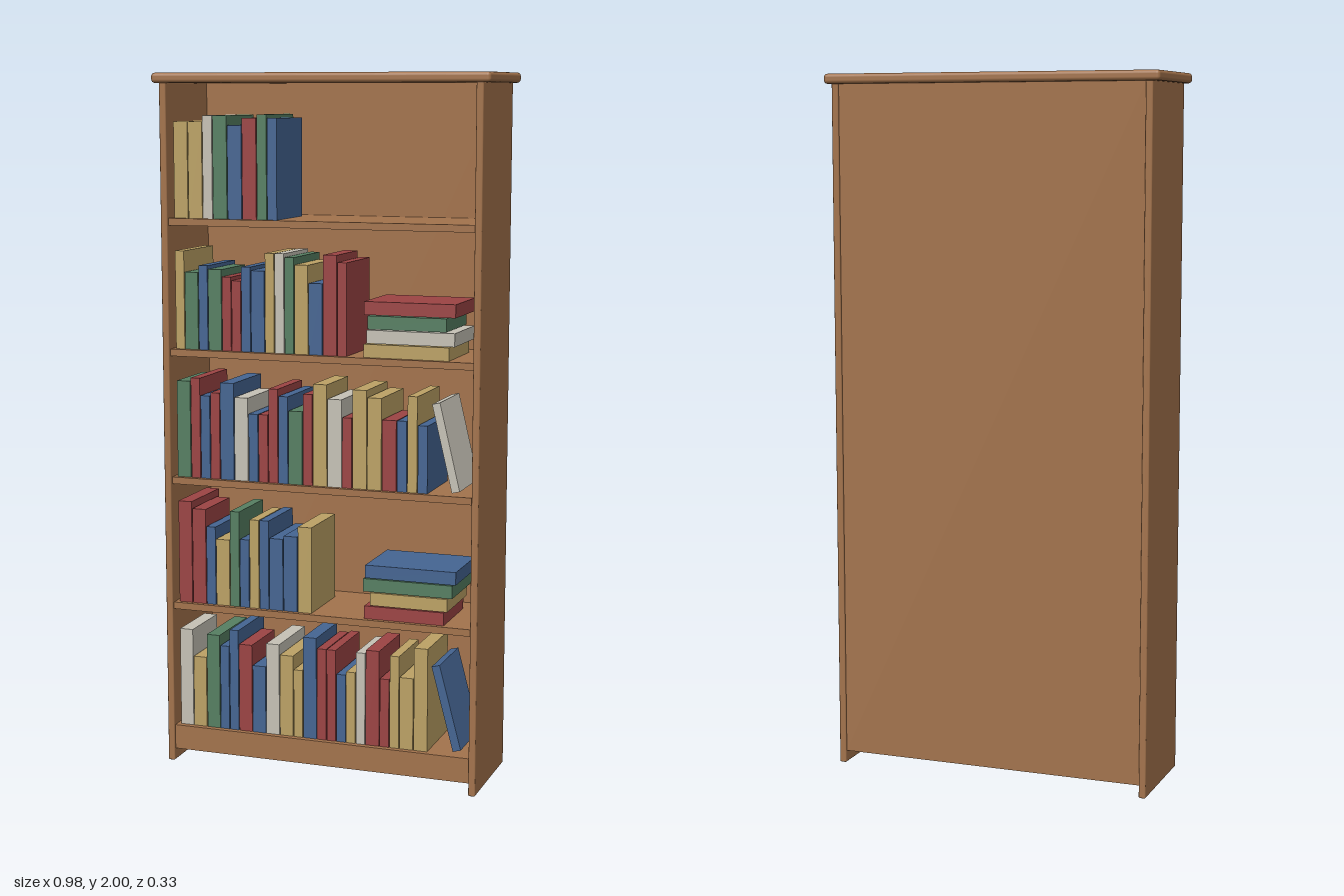
import * as THREE from 'three';
import { RoundedBoxGeometry } from 'three/addons/geometries/RoundedBoxGeometry.js';

const flat = (name, color) => {
  const m = new THREE.MeshStandardMaterial({ color });
  m.name = name;
  return m;
};

const FRONT = 0.13;                       // z of the book spines
const shelfTop = (i) => 0.107 + 0.3722 * i; // five evenly spaced levels

// Upright books per shelf: one letter per book gives its cloth, a capital is a
// thick volume; then the length of the row and the book heights in hundredths
const ROWS = [
  { books: 'WYGbbRBWYyBrrbywRryYY', length: 0.7605,
    heights: [29, 21, 28, 25, 30, 26, 20, 27, 24, 20, 30, 27, 27, 20, 21, 27, 28, 20, 27, 21, 30] },
  { books: 'RRbYgbybBBY', length: 0.413,
    heights: [30, 28, 23, 19.5, 28, 20, 26, 26, 21, 22, 25] },
  { books: 'GrbrBWbrrbGrYWrYYRbyb', length: 0.755,
    heights: [28, 29, 24, 25, 28, 24, 19.5, 19.5, 27, 25, 21, 26, 29, 25, 20, 28, 26, 20, 20, 27, 19] },
  { books: 'yGbGrrbBywgYBRr', length: 0.518,
    heights: [28, 22, 24, 23, 21, 20, 24, 23, 28, 28, 27, 25, 20, 28, 26] },
  { books: 'YYwGBRgb', length: 0.313,
    heights: [27, 27, 28.7, 28.7, 26, 28, 29, 28] },
];

// Lying books by shelf, bottom to top: colour, left x, right x
const STACKS = {
  1: [['R', 0.132, 0.366], ['Y', 0.15, 0.376], ['G', 0.129, 0.39], ['B', 0.135, 0.4]],
  3: [['Y', 0.129, 0.374], ['W', 0.137, 0.39], ['G', 0.14, 0.366], ['R', 0.129, 0.392]],
};

// Leaning books: colour, x, y, thickness, length, tilt
const LEANING = [
  ['B', 0.376, 0.24, 0.024, 0.25, 0.26],
  ['W', 0.368, 0.983, 0.023, 0.252, 0.235],
];

export function createModel() {
  const model = new THREE.Group();
  model.name = 'bookcase';
  const wood = flat('wood', 0xa3734c);
  const cloth = {
    R: flat('red cloth', 0x9c4444),
    B: flat('blue cloth', 0x456592),
    G: flat('green cloth', 0x567f62),
    Y: flat('tan cloth', 0xbca265),
    W: flat('pale cloth', 0xc6c2b6),
  };

  const add = (name, parent, material, geometry, x, y, z) => {
    const mesh = new THREE.Mesh(geometry, material);
    mesh.name = name;
    mesh.position.set(x, y, z);
    parent.add(mesh);
    return mesh;
  };
  const box = (w, h, d) => new THREE.BoxGeometry(w, h, d);

  // Case
  add('topBoard', model, wood, new RoundedBoxGeometry(0.98, 0.028, 0.33, 3, 0.01), 0, 1.986, 0);
  for (const s of [-1, 1]) {
    add(s > 0 ? 'leftSide' : 'rightSide', model, wood,
      new RoundedBoxGeometry(0.02, 1.975, 0.31, 2, 0.004), s * 0.459, 0.9875, 0);
  }
  add('backPanel', model, wood, box(0.9, 1.939, 0.012), 0, 1.0045, -0.143);
  add('plinth', model, wood, box(0.9, 0.072, 0.287), 0, 0.071, 0.0035);
  for (let i = 1; i < 5; i++) {
    add('shelf', model, wood, box(0.9, 0.02, 0.284), 0, shelfTop(i) - 0.01, 0.002);
  }

  const books = new THREE.Group();
  books.name = 'books';
  model.add(books);

  // Upright books: thick and thin volumes share out the row's length
  ROWS.forEach((row, i) => {
    const letters = [...row.books];
    const weights = letters.map((c) => (c === c.toUpperCase() ? 8.2 : 5.7));
    const unit = row.length / weights.reduce((a, b) => a + b);
    let x = -0.437;
    letters.forEach((c, j) => {
      const pitch = weights[j] * unit, w = pitch - 0.0026, h = row.heights[j] / 100;
      const d = j === letters.length - 1 ? 0.2 : 0.18 + ((j * 7 + i * 3) % 5) * 0.008;
      add('uprightBook', books, cloth[c.toUpperCase()], box(w, h, d),
        x + w / 2, shelfTop(i) + h / 2, FRONT - d / 2);
      x += pitch;
    });
  });

  // Stacks of lying books
  for (const [i, stack] of Object.entries(STACKS)) {
    stack.forEach(([c, x0, x1], j) => {
      add('stackedBook', books, cloth[c], box(x1 - x0, 0.037, 0.2),
        (x0 + x1) / 2, shelfTop(Number(i)) + 0.0185 + j * 0.0395, FRONT - 0.1);
    });
  }

  // Books leaning at the end of a row
  for (const [c, x, y, w, h, tilt] of LEANING) {
    add('leaningBook', books, cloth[c], box(w, h, 0.19), x, y, FRONT - 0.095).rotation.z = tilt;
  }
  return model;
}
